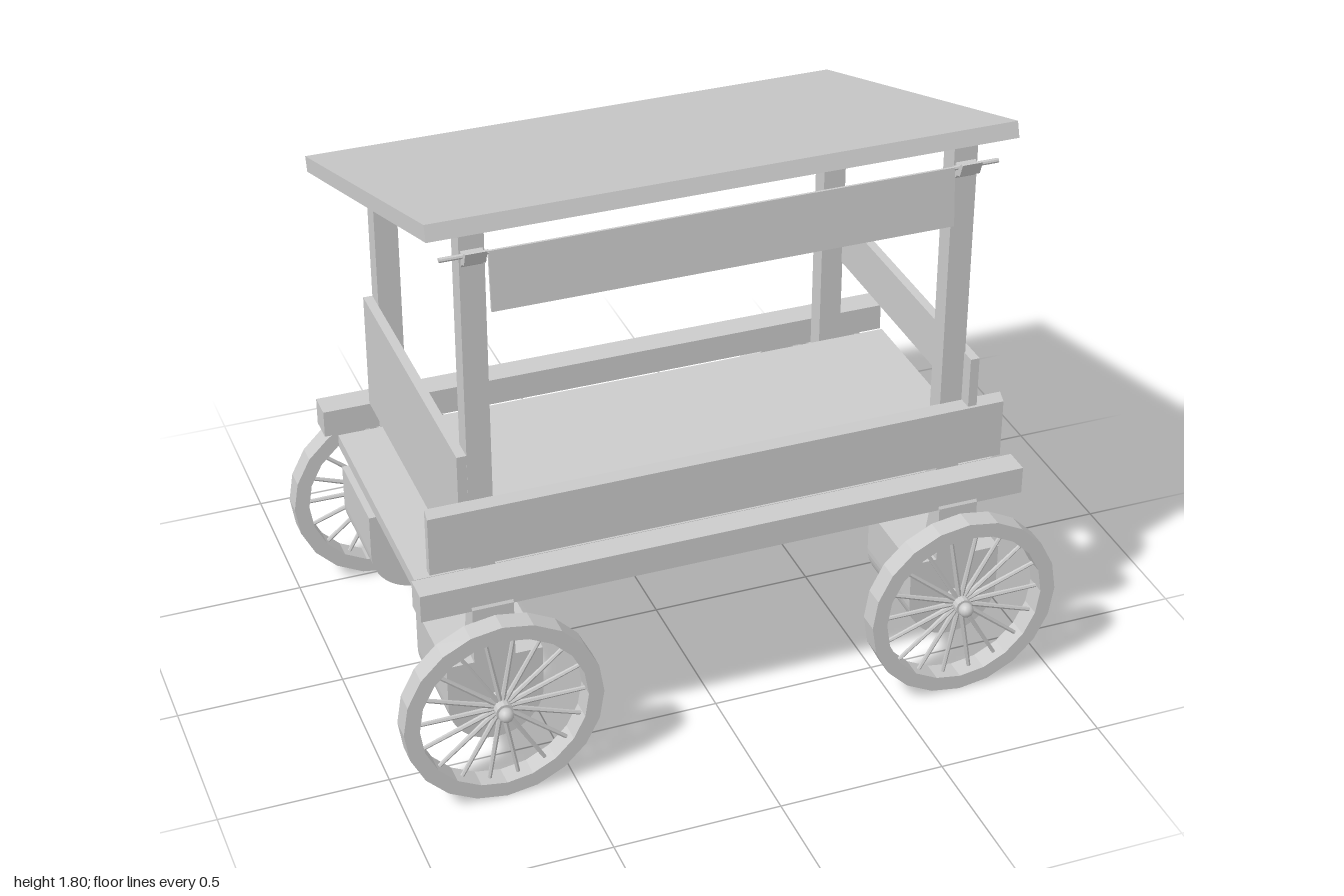
import * as THREE from 'three';

const mat = new THREE.MeshStandardMaterial({ color: 0xcccccc, flatShading: true });
const smooth = new THREE.MeshStandardMaterial({ color: 0xcccccc });

export function createModel() {
  const root = new THREE.Group();

  const add = (name, geo, parent = root, m = mat) => {
    const mesh = new THREE.Mesh(geo, m);
    mesh.name = name;
    parent.add(mesh);
    return mesh;
  };
  // Box given by its extents on each axis
  const box = (name, x0, x1, y0, y1, z0, z1, parent = root) => {
    const b = add(name, new THREE.BoxGeometry(x1 - x0, y1 - y0, z1 - z0), parent);
    b.position.set((x0 + x1) / 2, (y0 + y1) / 2, (z0 + z1) / 2);
    return b;
  };
  // Profile drawn as [z, y] points, extruded along x
  const sideProfile = (name, pts, x0, x1) => {
    const shape = new THREE.Shape(pts.map(([z, y]) => new THREE.Vector2(-z, y)));
    const geo = new THREE.ExtrudeGeometry(shape, { depth: x1 - x0, bevelEnabled: false });
    geo.rotateY(Math.PI / 2); // shape x -> -z, depth -> +x
    geo.translate(x0, 0, 0);
    return add(name, geo);
  };

  const axleX = 0.705, axleY = 0.295, midZ = 0.06;

  // Bed and side rails
  box('bed', -0.885, 0.885, 0.6, 0.64, -0.335, 0.457);
  box('frontRail', -0.91, 0.91, 0.6, 0.685, 0.52, 0.6);
  box('backRail', -0.91, 0.91, 0.6, 0.685, -0.485, -0.402);

  // Sloping roof
  const roof = add('roof', new THREE.BoxGeometry(1.675, 0.047, 1.337));
  roof.position.set(-0.004, 1.572, -0.0635);
  roof.rotation.x = -0.318;

  // Boards around the bed
  sideProfile('frontBoard', [[0.52, 0.71], [0.546, 0.71], [0.546, 0.892], [0.522, 0.91], [0.52, 0.91]], -0.865, 0.86);
  box('leftBoard', 0.737, 0.764, 0.912, 1.068, -0.44, 0.565);
  box('rightPanel', -0.768, -0.74, 0.69, 1.055, -0.4, 0.52);

  // Hanging board under the high roof edge
  const hanging = add('hangingBoard', new THREE.BoxGeometry(1.33, 0.175, 0.008));
  hanging.position.set(0, 1.592, 0.542);
  hanging.rotation.x = -0.08;

  // Bearing block: flat top, round bottom
  const u = new THREE.Shape();
  u.moveTo(0.14, 0.43);
  u.lineTo(-0.14, 0.43);
  u.lineTo(-0.14, axleY);
  u.absarc(0, axleY, 0.14, Math.PI, Math.PI * 2, false);
  u.closePath();
  const blockGeo = new THREE.ExtrudeGeometry(u, { depth: 0.3, bevelEnabled: false, curveSegments: 12 });

  // Wheel with rim, hub and spokes, axis along z
  const rimGeo = new THREE.LatheGeometry(
    [[0.247, -0.032], [0.293, -0.032], [0.293, 0.032], [0.247, 0.032], [0.247, -0.032]].map(p => new THREE.Vector2(...p)), 20);
  rimGeo.rotateX(Math.PI / 2);
  const spokeGeo = new THREE.CylinderGeometry(0.006, 0.008, 0.235, 6);
  spokeGeo.translate(0, 0.135, 0);
  const hubGeo = new THREE.CylinderGeometry(0.026, 0.026, 0.06, 14).rotateX(Math.PI / 2);
  const makeWheel = (name, x, z, out) => {
    const wheel = new THREE.Group();
    wheel.name = name;
    wheel.position.set(x, axleY, z);
    add('rim', rimGeo, wheel);
    add('hub', hubGeo, wheel);
    add('axleCap', new THREE.SphereGeometry(0.022, 14, 10), wheel, smooth).position.z = out * 0.042;
    for (let i = 0; i < 18; i++) {
      add('spoke', spokeGeo, wheel).rotation.z = (i / 18) * Math.PI * 2 + Math.PI / 2;
    }
    root.add(wheel);
  };

  for (const s of [-1, 1]) {
    const side = s > 0 ? 'left' : 'right', x = s * axleX;

    // Roof posts with tops cut to the roof slope
    sideProfile(side + 'FrontPost', [[0.457, 0.6], [0.521, 0.6], [0.521, 1.74], [0.457, 1.72]], x - 0.035, x + 0.035);
    sideProfile(side + 'BackPost', [[-0.4, 0.6], [-0.335, 0.6], [-0.335, 1.46], [-0.4, 1.438]], x - 0.035, x + 0.035);

    // Peg and hook holding the hanging board
    sideProfile(side + 'Hook', [[0.52, 1.635], [0.532, 1.65], [0.55, 1.655], [0.565, 1.695], [0.555, 1.695], [0.535, 1.675], [0.52, 1.685]], x - 0.03, x + 0.03);
    const peg = add(side + 'Peg', new THREE.CylinderGeometry(0.007, 0.007, 0.135, 8));
    peg.rotation.z = Math.PI / 2;
    peg.position.set(s * 0.73, 1.675, 0.533);

    // Axle and the cross beam above it
    const axle = add(side + 'Axle', new THREE.CylinderGeometry(0.018, 0.018, 1.27, 14), root, smooth);
    axle.rotation.x = Math.PI / 2;
    axle.position.set(x, axleY, midZ);
    box(side + 'CrossBeam', x - 0.04, x + 0.04, 0.555, 0.6, -0.42, 0.54);

    for (const f of [-1, 1]) {
      const end = side + (f > 0 ? 'Front' : 'Back');
      add(end + 'Bearing', blockGeo).position.set(x, 0, f > 0 ? 0.305 : -0.48);

      // Tapered bracket from rail to bearing
      const z = d => midZ + f * d;
      const pts = [[z(0.45), 0.43], [z(0.545), 0.43], [z(0.545), 0.605], [z(0.535), 0.62], [z(0.48), 0.62], [z(0.48), 0.56]];
      sideProfile(end + 'Bracket', pts, x - 0.06, x + 0.06);

      makeWheel(end + 'Wheel', x, f > 0 ? 0.653 : -0.528, f);
    }
  }
  return root;
}
